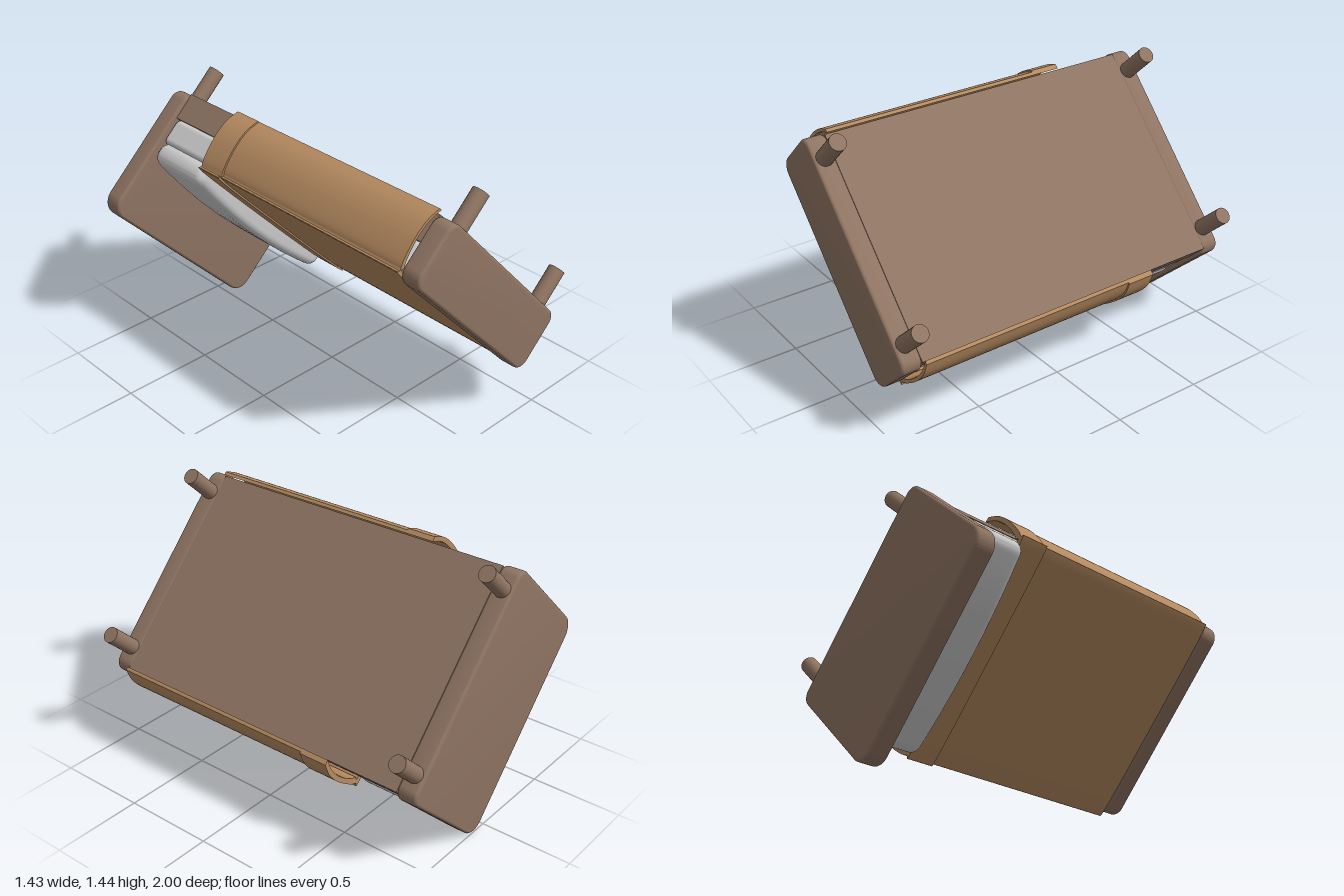
import * as THREE from 'three';
import { toCreasedNormals } from 'three/addons/utils/BufferGeometryUtils.js';
import { RoundedBoxGeometry } from 'three/addons/geometries/RoundedBoxGeometry.js';

const wood = new THREE.MeshStandardMaterial({ color: 0x8f7462 });
const cloth = new THREE.MeshStandardMaterial({ color: 0xb58a60 });
const linen = new THREE.MeshStandardMaterial({ color: 0xcccccc });

function add(parent, name, geometry, material, x = 0, y = 0, z = 0) {
  const mesh = new THREE.Mesh(geometry, material);
  mesh.name = name;
  mesh.position.set(x, y, z);
  parent.add(mesh);
  return mesh;
}

// Extrudes a shape from z0 to z1, with the bevel kept inside that range
function extrude(shape, z0, z1, bevel = 0, bevelSegments = 4) {
  const geo = new THREE.ExtrudeGeometry(shape, {
    depth: z1 - z0 - 2 * bevel, curveSegments: 10,
    bevelEnabled: bevel > 0, bevelThickness: bevel, bevelSize: bevel,
    bevelOffset: -bevel, bevelSegments
  });
  geo.translate(0, 0, z0 + bevel);
  return toCreasedNormals(geo, 0.6);
}

// Upright panel with separate bottom and top corner radii
function panelShape(hw, y0, y1, rb, rt) {
  const s = new THREE.Shape();
  s.absarc(hw - rb, y0 + rb, rb, -Math.PI / 2, 0);
  s.absarc(hw - rt, y1 - rt, rt, 0, Math.PI / 2);
  s.absarc(-hw + rt, y1 - rt, rt, Math.PI / 2, Math.PI);
  s.absarc(-hw + rb, y0 + rb, rb, Math.PI, Math.PI * 1.5);
  s.closePath();
  return s;
}

// Draped sheet section: outer curve out and inner curve back
function drapeShape(grow) {
  const half = [[0.605, 0.175], [0.638, 0.25], [0.648, 0.34], [0.636, 0.44], [0.614, 0.5], [0.57, 0.525]];
  const line = (dx, dy) => {
    const right = half.map(([x, y], i) =>
      new THREE.Vector2(x + dx, y + dy * THREE.MathUtils.clamp((i - 2) / 2, 0, 1)));
    const left = right.map(p => new THREE.Vector2(-p.x, p.y)).reverse();
    return new THREE.SplineCurve([...right, new THREE.Vector2(0, 0.53 + dy), ...left]).getPoints(72);
  };
  return new THREE.Shape([...line(grow, grow), ...line(-0.018, -0.018).reverse()]);
}

export function createModel() {
  const model = new THREE.Group();
  model.name = 'bed';

  // The bed is rolled over on its side, underside facing up
  const bed = new THREE.Group();
  bed.name = 'tippedBed';
  bed.rotation.z = THREE.MathUtils.degToRad(133.3);
  bed.position.set(0.357, 1.058, 0);
  model.add(bed);

  // End boards
  add(bed, 'headboard', extrude(panelShape(0.608, 0.195, 0.95, 0.06, 0.09), -1, -0.89, 0.015), wood);
  add(bed, 'footboard', extrude(panelShape(0.608, 0.195, 0.54, 0.06, 0.07), 0.89, 1, 0.015), wood);

  // Legs
  for (const x of [-1, 1]) {
    for (const z of [-1, 1]) {
      const end = z > 0 ? 'front' : 'back';
      add(bed, end + (x > 0 ? 'RightLeg' : 'LeftLeg'),
        new THREE.CylinderGeometry(0.044, 0.044, 0.24, 24), wood, x * 0.477, 0.12, z * 0.943);
    }
  }

  // Base and mattress
  add(bed, 'base', new THREE.BoxGeometry(1.174, 0.15, 1.79), wood, 0, 0.27, 0);
  add(bed, 'mattress', new RoundedBoxGeometry(1.172, 0.15, 1.78, 4, 0.03), linen, 0, 0.417, 0);

  // Pillow with a gently domed top
  const p = new THREE.Shape();
  p.moveTo(-0.55, 0.48);
  p.lineTo(0.55, 0.48);
  p.quadraticCurveTo(0.592, 0.49, 0.592, 0.54);
  p.quadraticCurveTo(0.592, 0.6, 0.53, 0.606);
  p.quadraticCurveTo(0, 0.678, -0.53, 0.606);
  p.quadraticCurveTo(-0.592, 0.6, -0.592, 0.54);
  p.quadraticCurveTo(-0.592, 0.49, -0.55, 0.48);
  add(bed, 'pillow', extrude(p, -0.885, -0.495, 0.045, 6), linen);

  // Blanket and its turned-back cuff
  add(bed, 'blanket', extrude(drapeShape(0), -0.36, 0.89), cloth);
  add(bed, 'blanketCuff', extrude(drapeShape(0.009), -0.5, -0.34), cloth);

  return model;
}
